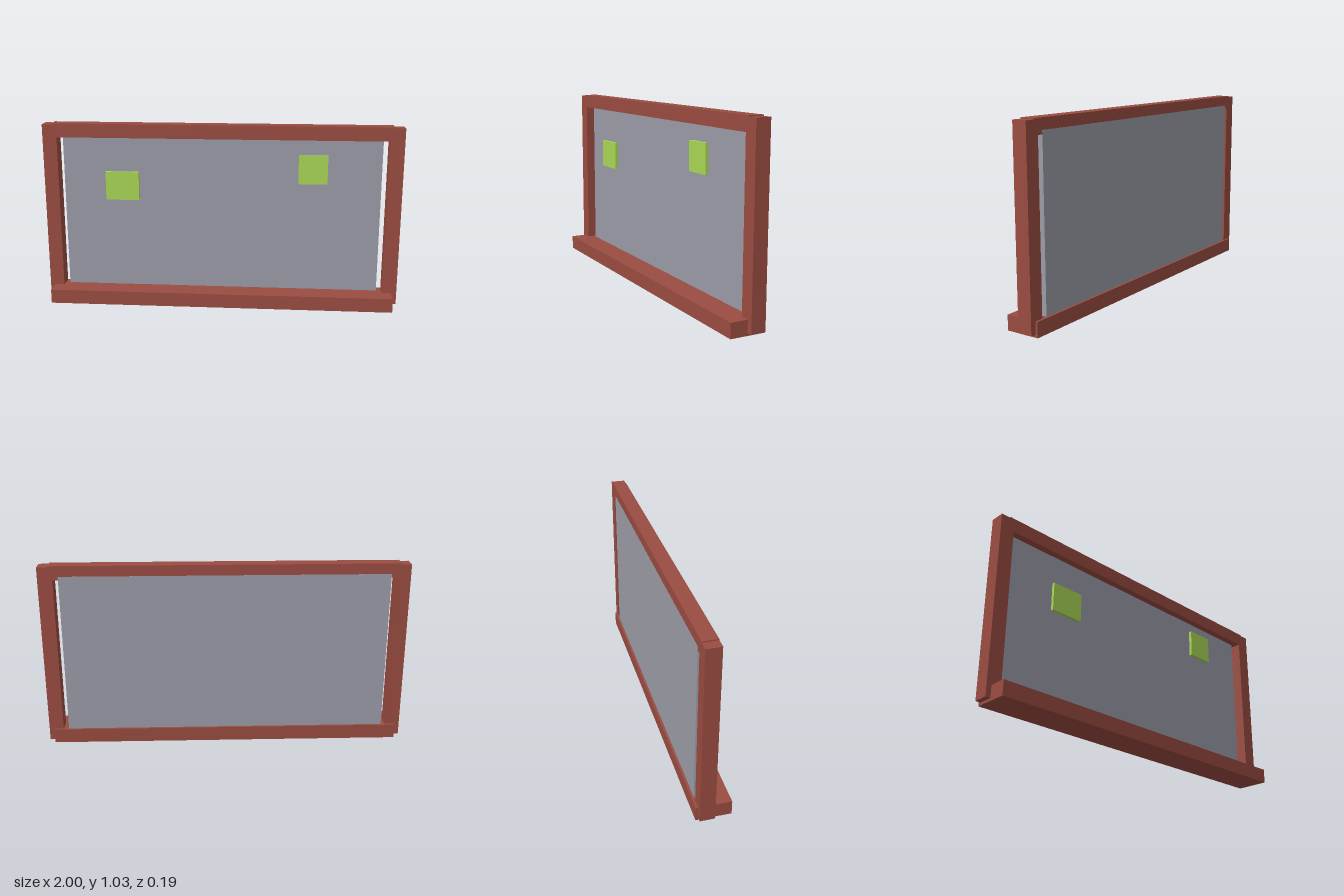
import * as THREE from 'three';

export function createModel() {
  const model = new THREE.Group();
  const material = (color) => new THREE.MeshStandardMaterial({ color });
  const wood = material(0x9a4c41);
  const slate = material(0x9c9ca8);
  const paper = material(0xaad855);

  // Box given by its [min, max] extent along each axis
  function addBox(name, mat, [x0, x1], [y0, y1], [z0, z1]) {
    const mesh = new THREE.Mesh(new THREE.BoxGeometry(x1 - x0, y1 - y0, z1 - z0), mat);
    mesh.position.set((x0 + x1) / 2, (y0 + y1) / 2, (z0 + z1) / 2);
    mesh.name = name;
    model.add(mesh);
  }

  // Frame: two posts, a top rail and a deeper bottom ledge
  const depth = [-0.08, 0];
  addBox('leftPost', wood, [0.92, 1], [0.015, 1.022], depth);
  addBox('rightPost', wood, [-1, -0.92], [0.015, 1.022], depth);
  addBox('topRail', wood, [-0.947, 0.943], [0.95, 1.028], depth);
  addBox('bottomLedge', wood, [-0.973, 0.97], [0, 0.08], [-0.093, 0.095]);

  // Writing surface, flush with the back of the frame
  addBox('boardPanel', slate, [-0.895, 0.89], [0.06, 0.97], [-0.0805, -0.04]);

  // Paper notes
  addBox('rightNote', paper, [-0.648, -0.46], [0.6, 0.76], [-0.008, 0.009]);
  addBox('leftNote', paper, [0.43, 0.59], [0.708, 0.867], [-0.008, 0.009]);

  return model;
}
